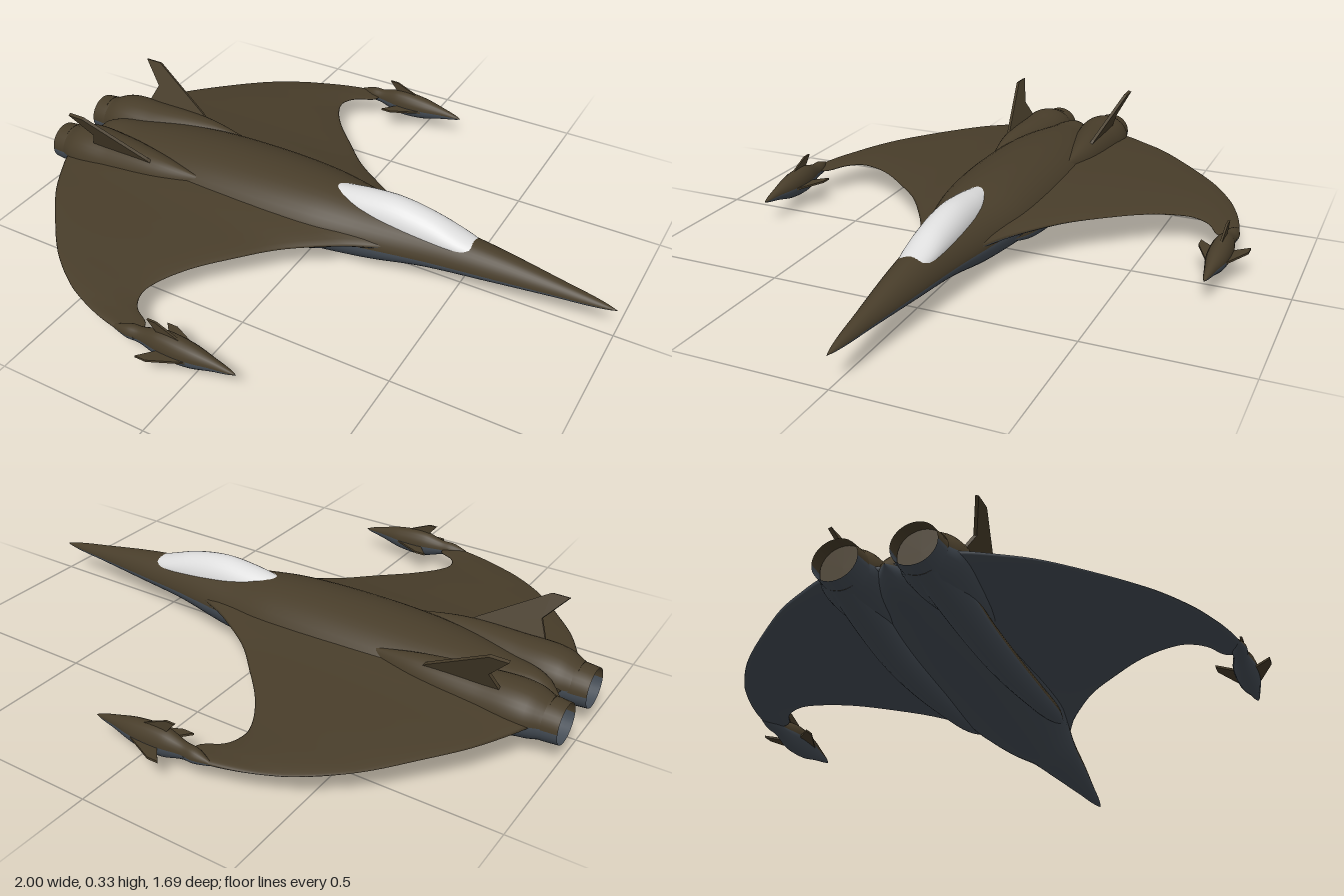
import * as THREE from 'three';

const mat = (name, color) => {
  const m = new THREE.MeshStandardMaterial({ color, side: THREE.DoubleSide });
  m.name = name;
  return m;
};

// Smoothly samples a table whose first column is the position (ascending)
function sampler(table) {
  const n = table[0].length - 1;
  const curve = new THREE.CubicInterpolant(table.map(r => r[0]), table.flatMap(r => r.slice(1)), n);
  return t => Array.from(curve.evaluate(t));
}

// Skins closed rings; the first half of each ring is group 0 (upper), the rest group 1 (lower)
function skin(rings) {
  const n = rings[0].length;
  const halves = [[], []];
  for (let i = 0; i < rings.length - 1; i++) {
    for (let j = 0; j < n; j++) {
      const k = (j + 1) % n;
      const a = i * n + j, b = a + n, c = i * n + k, d = c + n;
      halves[j < n / 2 ? 0 : 1].push(a, b, c, b, d, c);
    }
  }
  const g = new THREE.BufferGeometry();
  g.setAttribute('position', new THREE.Float32BufferAttribute(rings.flat(2), 3));
  g.setIndex([...halves[0], ...halves[1]]);
  g.addGroup(0, halves[0].length, 0);
  g.addGroup(halves[0].length, halves[1].length, 1);
  g.computeVertexNormals();
  return g;
}

// Body along x. Rows: x, centre z, centre y, half width, height above, depth below
function hull(table, { steps = 50, sides = 32, power = 1, side = 1 } = {}) {
  const at = sampler(table);
  const x0 = table[0][0], x1 = table[table.length - 1][0];
  const rings = [];
  for (let i = 0; i <= steps; i++) {
    const x = x0 + (x1 - x0) * i / steps;
    const [cz, cy, w, up, down] = at(x);
    rings.push(Array.from({ length: sides }, (_, j) => {
      const a = j / sides * Math.PI * 2, s = Math.sin(a);
      const y = s >= 0 ? Math.max(up, 0) * s ** power : Math.max(down, 0) * s;
      return [x, cy + y, side * cz + Math.max(w, 0) * Math.cos(a)];
    }));
  }
  return skin(rings);
}

// Thin plate from an outline in x and y, centred on its thickness
function plate(points, depth) {
  const shape = new THREE.Shape(points.map(p => new THREE.Vector2(...p)));
  const g = new THREE.ExtrudeGeometry(shape, { depth, bevelEnabled: false });
  return g.translate(0, 0, -depth / 2);
}

export function createModel() {
  const model = new THREE.Group();
  model.name = 'jet';
  const olive = mat('olive upper paint', 0x483d2a);
  const gray = mat('blue gray under paint', 0x454d56);
  const white = mat('pale canopy', 0xdedede);
  const paint = [olive, gray];
  const add = (name, geometry, material, parent = model) => {
    const m = new THREE.Mesh(geometry, material);
    m.name = name;
    parent.add(m);
    return m;
  };

  // Fuselage
  add('fuselage', hull([
    [-0.94, 0, 0.12, 0, 0, 0],
    [-0.9, 0, 0.12, 0.04, 0.045, 0.04],
    [-0.75, 0, 0.12, 0.11, 0.075, 0.065],
    [-0.55, 0, 0.12, 0.165, 0.1, 0.085],
    [-0.3, 0, 0.12, 0.18, 0.115, 0.097],
    [0, 0, 0.115, 0.165, 0.117, 0.105],
    [0.2, 0, 0.11, 0.125, 0.1, 0.093],
    [0.4, 0, 0.108, 0.088, 0.085, 0.055],
    [0.6, 0, 0.107, 0.062, 0.065, 0.037],
    [0.8, 0, 0.104, 0.034, 0.036, 0.02],
    [0.97, 0, 0.101, 0.009, 0.008, 0.006],
    [1, 0, 0.1, 0, 0, 0],
  ], { steps: 90, sides: 40, power: 1.15 }), paint);

  // Canopy
  add('canopy', hull([
    [0.05, 0, 0.18, 0.045, 0.046, 0.02],
    [0.15, 0, 0.18, 0.059, 0.06, 0.02],
    [0.27, 0, 0.175, 0.064, 0.072, 0.02],
    [0.4, 0, 0.165, 0.06, 0.06, 0.02],
    [0.5, 0, 0.155, 0.052, 0.036, 0.01],
    [0.55, 0, 0.15, 0.04, 0.024, 0],
  ]), white);

  // One-piece crescent wing. Rows: z, leading x, trailing x, centre y, half thickness
  const wingAt = sampler([
    [0, 0.4, -0.92, 0.125, 0.05],
    [0.1, 0.29, -0.935, 0.125, 0.047],
    [0.14, 0.2, -0.935, 0.125, 0.043],
    [0.2, 0.1, -0.92, 0.125, 0.035],
    [0.27, 0, -0.885, 0.123, 0.026],
    [0.37, -0.1, -0.825, 0.12, 0.018],
    [0.48, -0.2, -0.735, 0.113, 0.014],
    [0.58, -0.26, -0.645, 0.104, 0.012],
    [0.63, -0.27, -0.59, 0.1, 0.011],
    [0.69, -0.24, -0.505, 0.094, 0.01],
    [0.72, -0.19, -0.45, 0.091, 0.009],
    [0.77, -0.18, -0.31, 0.088, 0.008],
    [0.79, -0.18, -0.21, 0.087, 0.004],
  ]);
  const wing = [];
  for (let i = -60; i <= 60; i++) {
    const z = 0.79 * Math.sin(i / 60 * Math.PI / 2);
    const [lead, trail, cy, t] = wingAt(Math.min(Math.abs(z), 0.79));
    wing.push(Array.from({ length: 32 }, (_, j) => {
      const a = j / 32 * Math.PI * 2, s = Math.sin(a);
      return [(lead + trail) / 2 - (lead - trail) / 2 * Math.cos(a),
        cy + t * Math.sign(s) * Math.abs(s) ** 1.2, z];
    }));
  }
  add('wing', skin(wing), paint);

  for (const side of [1, -1]) {
    const half = new THREE.Group();
    half.name = side > 0 ? 'leftParts' : 'rightParts';
    model.add(half);

    // Engine fairing, hollow nozzle and the wall inside it
    add('engineFairing', hull([
      [-0.95, 0.112, 0.125, 0.07, 0.06, 0.065],
      [-0.9, 0.115, 0.128, 0.088, 0.078, 0.075],
      [-0.75, 0.12, 0.13, 0.084, 0.082, 0.075],
      [-0.55, 0.135, 0.14, 0.052, 0.066, 0.055],
      [-0.36, 0.14, 0.15, 0, 0.025, 0.02],
    ], { side }), paint, half);
    add('nozzle', hull([
      [-1, 0.11, 0.12, 0.066, 0.062, 0.062],
      [-0.95, 0.11, 0.121, 0.07, 0.066, 0.066],
      [-0.88, 0.112, 0.123, 0.07, 0.066, 0.066],
    ], { side, steps: 6 }), paint, half);
    const wall = add('nozzleWall', new THREE.CircleGeometry(0.067, 28), olive, half);
    wall.rotation.y = -Math.PI / 2;
    wall.position.set(-0.955, 0.121, side * 0.11);

    // Under-body nacelle running back into the engine
    add('underNacelle', hull([
      [-0.95, 0.115, 0.11, 0.05, 0.03, 0.055],
      [-0.8, 0.125, 0.085, 0.052, 0.04, 0.054],
      [-0.62, 0.133, 0.056, 0.048, 0.044, 0.05],
      [-0.45, 0.136, 0.048, 0.045, 0.044, 0.047],
      [-0.2, 0.138, 0.055, 0.036, 0.04, 0.037],
      [0, 0.138, 0.07, 0.024, 0.03, 0.024],
      [0.14, 0.13, 0.09, 0, 0, 0],
    ], { side, sides: 24 }), paint, half);

    // Canted tail fin
    const fin = add('tailFin', plate([
      [-0.54, -0.03], [-0.59, 0.01], [-0.8, 0.142], [-0.858, 0.142], [-0.79, 0.06], [-0.83, -0.03],
    ], 0.011), olive, half);
    fin.position.set(0, 0.198, side * 0.163);
    fin.rotation.x = side * 0.4;

    // Wing-tip pod with side fins and an upright fin
    add('tipPod', hull([
      [-0.26, 0.775, 0.088, 0.006, 0.008, 0.008],
      [-0.21, 0.77, 0.088, 0.022, 0.025, 0.02],
      [-0.17, 0.767, 0.088, 0.022, 0.028, 0.025],
      [-0.1, 0.765, 0.088, 0.034, 0.046, 0.045],
      [0, 0.765, 0.088, 0.033, 0.04, 0.042],
      [0.08, 0.765, 0.088, 0.018, 0.021, 0.022],
      [0.14, 0.765, 0.085, 0.006, 0.006, 0.006],
      [0.155, 0.765, 0.084, 0, 0, 0],
    ], { side, sides: 20 }), paint, half);
    for (const dir of [1, -1]) {
      const vane = add('podSideFin', plate([
        [0.04, 0.015], [-0.1, 0.079], [-0.137, 0.079], [-0.08, 0.015],
      ], 0.007), olive, half);
      vane.rotation.x = dir * Math.PI / 2;
      vane.position.set(0, 0.083, side * 0.765);
    }
    add('podUprightFin', plate([
      [0, 0.03], [-0.11, 0.077], [-0.14, 0.077], [-0.1, 0.03],
    ], 0.007), olive, half).position.set(0, 0.088, side * 0.768);
  }
  return model;
}
